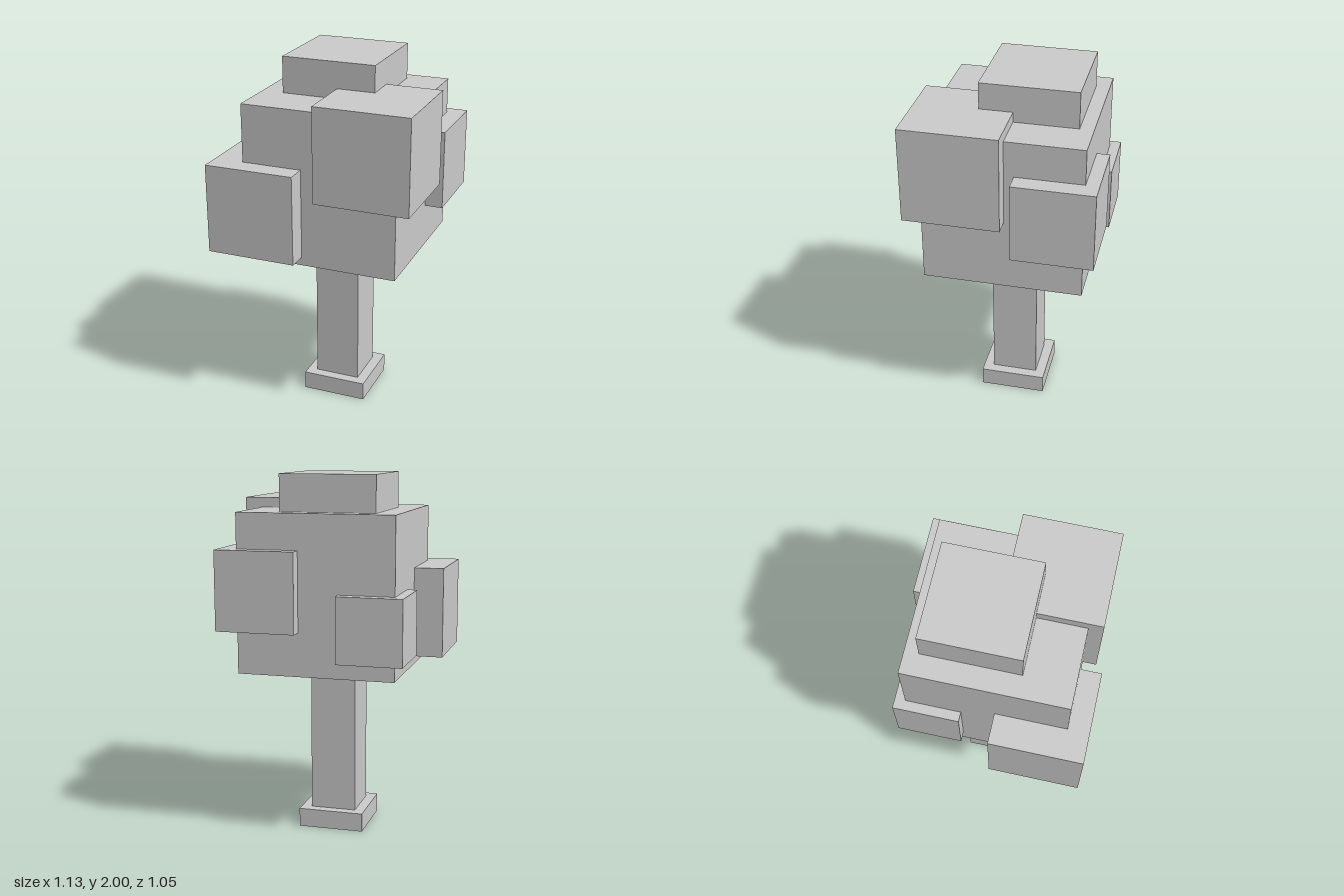
import * as THREE from 'three';

// Adds a box spanning [min, max] on each axis.
function addBlock(parent, material, name, [x0, x1], [y0, y1], [z0, z1]) {
  const mesh = new THREE.Mesh(new THREE.BoxGeometry(x1 - x0, y1 - y0, z1 - z0), material);
  mesh.name = name;
  mesh.position.set((x0 + x1) / 2, (y0 + y1) / 2, (z0 + z1) / 2);
  parent.add(mesh);
}

export function createModel() {
  const tree = new THREE.Group();
  tree.name = 'blockTree';
  const material = new THREE.MeshStandardMaterial({ color: 0xcccccc, flatShading: true });

  // Trunk on its square foot
  addBlock(tree, material, 'trunkBase', [-0.165, 0.202], [0, 0.104], [-0.205, 0.163]);
  addBlock(tree, material, 'trunk', [-0.11, 0.145], [0.104, 0.932], [-0.15, 0.106]);

  // Main crown with smaller leaf cubes sunk into it
  const crown = new THREE.Group();
  crown.name = 'crown';
  tree.add(crown);
  const leaves = [
    ['crownCore', [-0.401, 0.463], [0.932, 1.8], [-0.456, 0.41]],
    ['topLeaves', [-0.28, 0.245], [1.475, 2], [-0.381, 0.144]],
    ['frontLeftLeaves', [0.033, 0.558], [1.33, 1.855], [-0.037, 0.486]],
    ['frontRightLeaves', [-0.565, -0.066], [0.98, 1.478], [0.025, 0.525]],
    ['backLeftLeaves', [0.123, 0.562], [1.17, 1.606], [-0.527, -0.09]],
    ['backRightLeaves', [-0.455, -0.096], [1.022, 1.381], [-0.513, -0.156]],
  ];
  for (const [name, x, y, z] of leaves) addBlock(crown, material, name, x, y, z);

  return tree;
}
